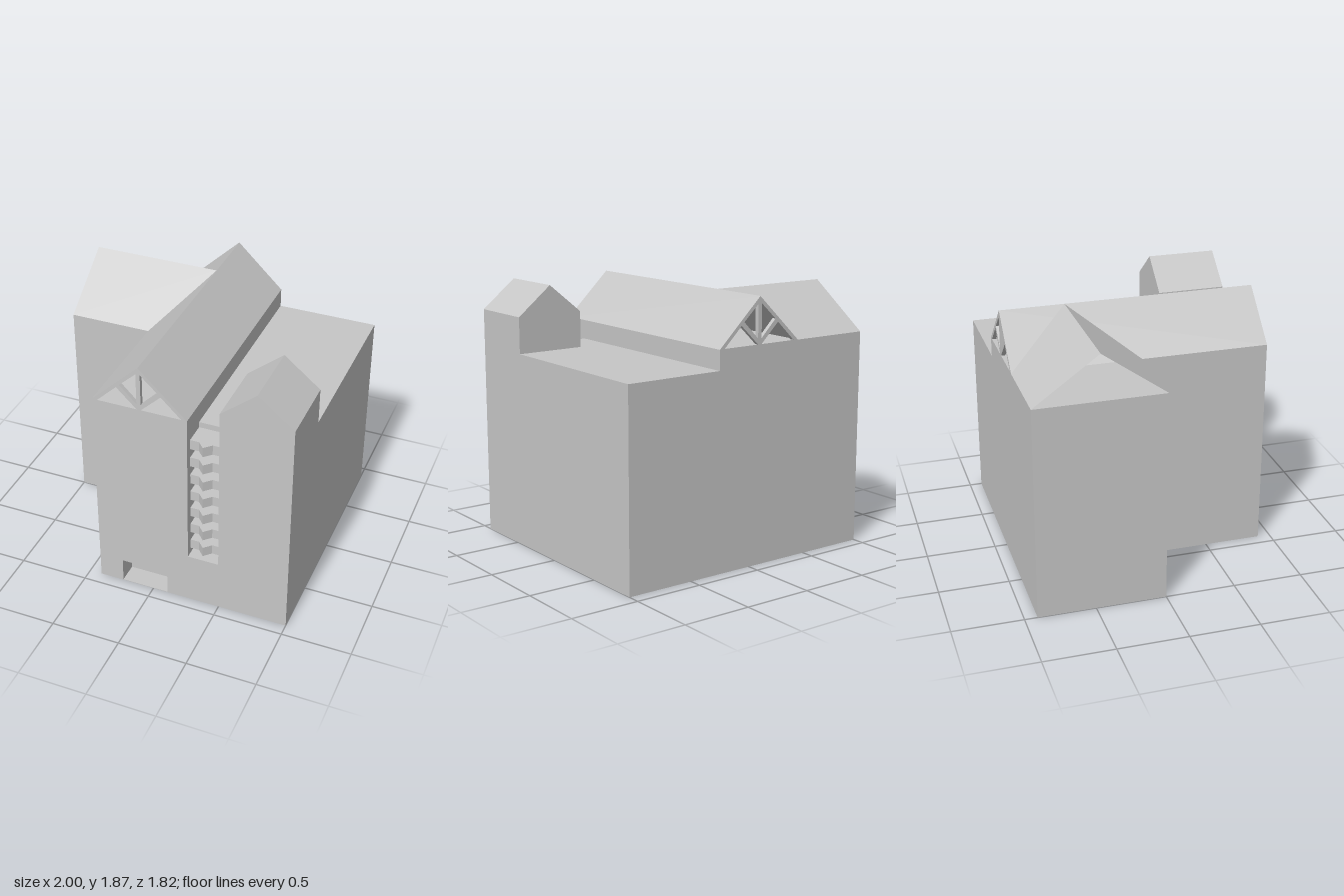
import * as THREE from 'three';

export function createModel() {
  const model = new THREE.Group();
  model.name = 'building';
  const plaster = new THREE.MeshStandardMaterial({ color: 0xc6c6c6, flatShading: true });
  plaster.name = 'plain grey';
  const roofGrey = plaster.clone();
  roofGrey.name = 'plain grey roof sheet';
  roofGrey.side = THREE.DoubleSide;

  const add = (name, geometry, material = plaster, parent = model) => {
    const mesh = new THREE.Mesh(geometry, material);
    mesh.name = name;
    parent.add(mesh);
    return mesh;
  };
  // Box given by its limits
  const box = (name, x0, x1, y0, y1, z0, z1, parent = model) => {
    const g = new THREE.BoxGeometry(x1 - x0, y1 - y0, z1 - z0);
    g.translate((x0 + x1) / 2, (y0 + y1) / 2, (z0 + z1) / 2);
    return add(name, g, plaster, parent);
  };
  const points = (list) => list.map(([x, y]) => new THREE.Vector2(x, y));
  // Front-facing outline extruded from z0 to z1
  const extrude = (name, outline, z0, z1, holes = []) => {
    const shape = new THREE.Shape(points(outline));
    holes.forEach((h) => shape.holes.push(new THREE.Path(points(h))));
    const g = new THREE.ExtrudeGeometry(shape, { depth: z1 - z0, bevelEnabled: false });
    g.translate(0, 0, z0);
    return add(name, g);
  };
  // Thin four-cornered roof sheet
  const sheet = (name, a, b, c, d) => {
    const g = new THREE.BufferGeometry();
    g.setAttribute('position', new THREE.Float32BufferAttribute([a, b, c, a, c, d].flat(), 3));
    g.computeVertexNormals();
    return add(name, g, roofGrey);
  };

  const Z = 0.91, EAVE = 1.54, RIDGE = 1.866;
  const L = -0.41, R = 0.27, MID = -0.07;   // main hall
  const S = 0.495, FLAT = 1.4;              // slot edge and flat roof height

  // Walls of the main hall, with a recessed entrance in the front
  box('hallWalls', L, R, 0, EAVE, -Z, 0.765);
  extrude('hallFront', [[L, 0], [-0.235, 0], [-0.235, 0.185], [0.11, 0.185], [0.11, 0],
    [R, 0], [R, EAVE], [L, EAVE]], 0.765, Z);
  box('entranceFloor', -0.235, 0.11, 0, 0.004, 0.765, Z);

  // Side wing
  box('wingWalls', -1, L, 0, EAVE, -Z, 0);

  // Open pitched roofs, meeting at two valleys
  for (const x of [L, R]) {
    sheet('hallRoof', [x, EAVE, Z], [MID, RIDGE, Z], [MID, RIDGE, -Z], [x, EAVE, -Z]);
  }
  for (const z of [0, -Z]) {
    sheet('wingRoof', [-1, EAVE, z], [L, EAVE, z], [MID, RIDGE, -Z / 2], [-1, RIDGE, -Z / 2]);
  }

  // Pierced gable trusses at both ends of the hall
  const holes = [];
  for (const s of [-1, 1]) {
    holes.push([[0.015, EAVE + 0.002], [0.3, EAVE + 0.002], [0.158, 1.68]].map(([x, y]) => [MID + s * x, y]));
    holes.push([[0.015, 1.582], [0.135, 1.703], [0.015, 1.815]].map(([x, y]) => [MID + s * x, y]));
  }
  for (const z of [-Z, Z - 0.03]) {
    extrude('gableTruss', [[L, EAVE], [R, EAVE], [MID, RIDGE]], z, z + 0.03, holes);
  }

  // Flat-roofed block with a slot for the balconies
  box('flatBlock', S, 1, 0, FLAT, -Z, 0.41);
  box('slotBase', R, S, 0, 0.39, -Z, Z);
  box('slotBack', R, S, 0.39, FLAT, -Z, 0.705);
  box('slotRecess', R, S, 0.39, 1.3, 0.705, 0.755);

  // Corner tower with a solid pitched top
  extrude('cornerTower', [[S, 0], [1, 0], [1, 1.66], [0.745, RIDGE], [S, 1.66]], 0.41, Z);

  // Stack of balconies with pointed fronts
  const plan = [[R, -0.705], [S, -0.705], [S, -0.86], [0.43, -0.86], [0.38, -Z], [0.333, -0.86], [R, -0.86]];
  const balcony = new THREE.ExtrudeGeometry(new THREE.Shape(points(plan)), { depth: 0.074, bevelEnabled: false });
  balcony.rotateX(-Math.PI / 2);
  for (let i = 0; i < 7; i++) {
    add('balcony', balcony).position.y = 0.431 + i * 0.1423;
  }
  return model;
}
